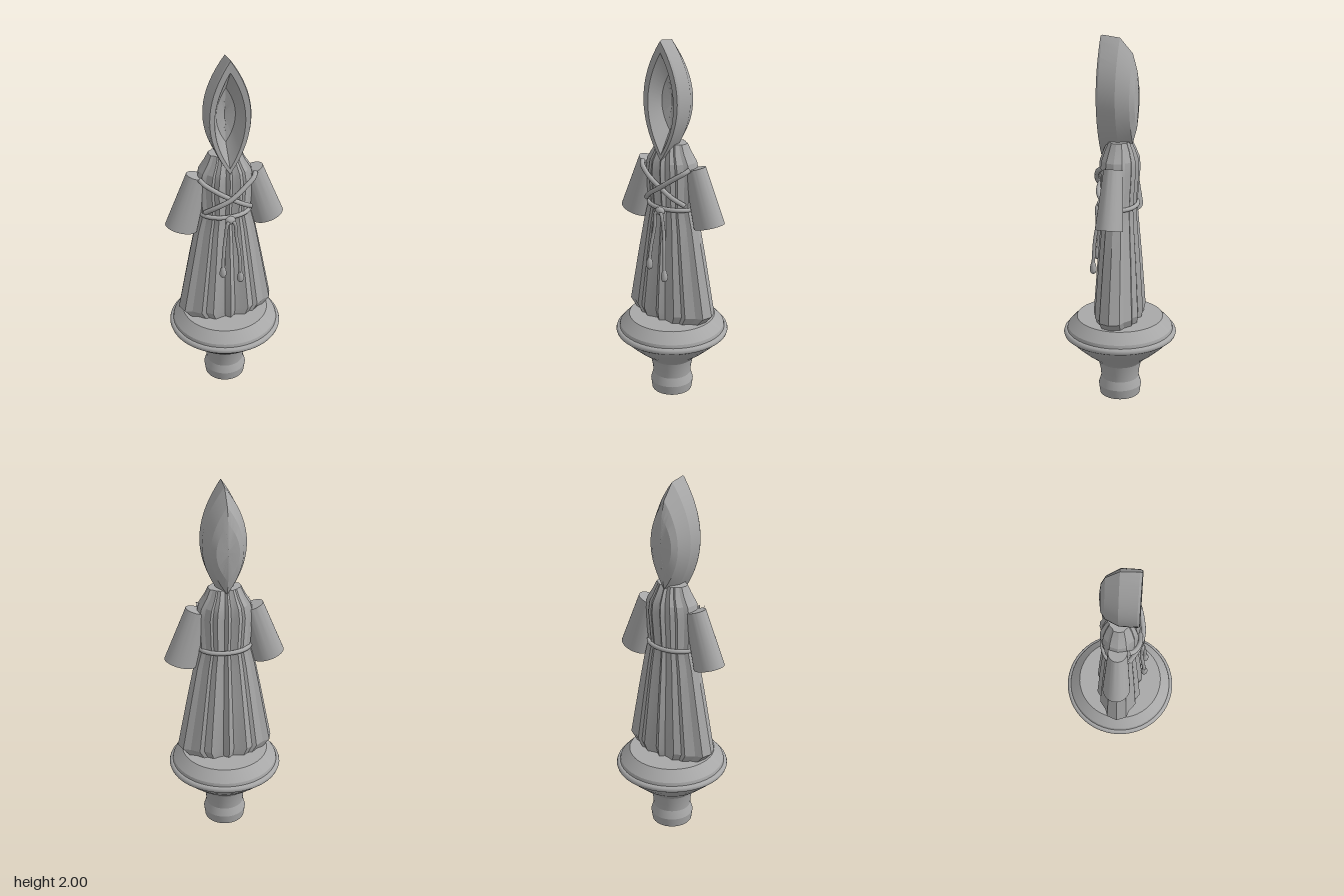
import * as THREE from 'three';
import { toCreasedNormals } from 'three/addons/utils/BufferGeometryUtils.js';

const V = (x, y, z) => new THREE.Vector3(x, y, z);
const stone = new THREE.MeshStandardMaterial({ color: 0xa8a8a8 });
stone.name = 'stone grey';

// Skins a list of equal-length closed loops.
function loft(loops, crease) {
  const n = loops[0].length, pos = [], index = [];
  loops.forEach(loop => loop.forEach(p => pos.push(p.x, p.y, p.z)));
  for (let j = 0; j < loops.length - 1; j++) {
    for (let i = 0; i < n; i++) {
      const a = j * n + i, b = j * n + (i + 1) % n;
      index.push(a, b, b + n, a, b + n, a + n);
    }
  }
  const g = new THREE.BufferGeometry();
  g.setAttribute('position', new THREE.Float32BufferAttribute(pos, 3));
  g.setIndex(index);
  return toCreasedNormals(g, crease);
}

function lathe(points, segments = 48) {
  const g = new THREE.LatheGeometry(points.map(p => new THREE.Vector2(...p)), segments);
  return toCreasedNormals(g, 0.35);
}

const cordGeometry = (points, radius, closed = false) =>
  new THREE.TubeGeometry(new THREE.CatmullRomCurve3(points, closed), closed ? 64 : 28, radius, 10, closed);

// Pointed almond outline in a plane of constant z.
function almond(halfWidth, bottom, top, z, tilt = 0) {
  const half = 18, loop = [];
  for (let i = 0; i < half * 2; i++) {
    const t = i < half ? i / half : 2 - i / half;
    const w = halfWidth * 4 * t * (1 - t) * (i < half ? 1 : -1);
    loop.push(V(w, bottom + (top - bottom) * t, z + tilt * t));
  }
  return loop;
}

// Pleated hem outline, from one quarter mirrored round.
function robeLoop(y, sx, sz) {
  const q = [[0, 0.13], [0.03, 0.108], [0.06, 0.112], [0.1, 0.123], [0.135, 0.1],
    [0.16, 0.102], [0.205, 0.068], [0.245, 0.055], [0.265, 0]];
  const back = q.slice(0, -1).reverse().map(([x, z]) => [x, -z]);
  const right = [...q, ...back];
  const left = right.slice(1, -1).reverse().map(([x, z]) => [-x, z]);
  return [...right, ...left].map(([x, z]) => V(x * sx, y, z * sz));
}

export function createModel() {
  const model = new THREE.Group();
  model.name = 'hoodedRobeFigure';
  function add(name, geometry, parent = model) {
    const mesh = new THREE.Mesh(geometry, stone);
    mesh.name = name;
    parent.add(mesh);
    return mesh;
  }

  // Turned pedestal with a rounded rim
  add('pedestal', lathe([[0, 0], [0.112, 0], [0.119, 0.053], [0.105, 0.1], [0.108, 0.14],
    [0.12, 0.195], [0.145, 0.222], [0.2, 0.265], [0.255, 0.315], [0.285, 0.348], [0.292, 0.36],
    [0.292, 0.395], [0.288, 0.41], [0.237, 0.465], [0, 0.465]]));
  const rim = add('pedestalRim', new THREE.TorusGeometry(0.293, 0.018, 10, 64));
  rim.rotation.x = Math.PI / 2;
  rim.position.y = 0.375;

  // Pleated robe: height, width scale, depth scale
  const levels = [[0.46, 0, 0], [0.46, 0.83, 0.93], [0.51, 1, 1], [0.8, 0.79, 0.86],
    [1.0, 0.64, 0.74], [1.11, 0.53, 0.68], [1.3, 0.58, 0.8], [1.36, 0.53, 0.78],
    [1.41, 0.41, 0.64], [1.455, 0.33, 0.48], [1.455, 0, 0]];
  add('robe', loft(levels.map(l => robeLoop(...l)), 0.3));

  // Hood: back ridge, outer shell, rim, then the hollow face
  add('hood', loft([
    almond(0, 1.66, 1.7, -0.1),
    almond(0.06, 1.52, 1.83, -0.09),
    almond(0.085, 1.44, 1.91, -0.068),
    almond(0.116, 1.385, 1.988, 0.0),
    almond(0.112, 1.375, 2.0, 0.09),
    almond(0.106, 1.375, 1.995, 0.102),
    almond(0.08, 1.405, 1.935, 0.1),
    almond(0.05, 1.52, 1.82, 0.02),
    almond(0, 1.65, 1.69, 0.0),
  ], 0.35));

  // Wide hollow sleeves
  for (const side of [1, -1]) {
    const sleeve = add(side > 0 ? 'leftSleeve' : 'rightSleeve', lathe([
      [0, -0.05], [0.056, -0.155], [0.06, -0.158], [0.088, -0.158], [0.06, 0.155], [0, 0.155]]));
    sleeve.position.set(side * 0.194, 1.185, 0);
    sleeve.rotation.z = side * 0.3;
    sleeve.scale.z = 0.82;
  }

  // Rope belt and knot
  const belt = [];
  for (let i = 0; i < 24; i++) {
    const a = i / 24 * Math.PI * 2;
    belt.push(V(Math.sin(a) * 0.137, 1.11, Math.cos(a) * 0.093));
  }
  add('belt', cordGeometry(belt, 0.012, true));
  const knot = add('knot', new THREE.SphereGeometry(0.028, 16, 10));
  knot.position.set(0, 1.1, 0.108);
  knot.scale.set(1, 0.8, 0.7);

  // Crossed chest cords, one laid over the other
  for (const side of [1, -1]) {
    const lift = side > 0 ? 0.008 : -0.006;
    add(side > 0 ? 'leftChestCord' : 'rightChestCord', cordGeometry([
      V(side * 0.15, 1.34, 0.055), V(side * 0.135, 1.325, 0.08), V(side * 0.07, 1.28, 0.108),
      V(0, 1.23, 0.112 + lift), V(-side * 0.07, 1.185, 0.1), V(-side * 0.125, 1.14, 0.06)], 0.013));
  }

  // Hanging cords with tassels
  for (const [side, end] of [[1, 0.77], [-1, 0.82]]) {
    const group = new THREE.Group();
    group.name = side > 0 ? 'leftTassel' : 'rightTassel';
    model.add(group);
    add('hangingCord', cordGeometry([V(0, 1.1, 0.11), V(side * 0.018, 1.09, 0.122),
      V(side * 0.03, 1.0, 0.118), V(side * 0.043, 0.9, 0.13), V(side * 0.049, end, 0.138)], 0.0095), group);
    const tip = add('tasselTip', lathe([[0, -0.036], [0.011, -0.033], [0.018, -0.02],
      [0.019, -0.005], [0.014, 0.018], [0.009, 0.032], [0, 0.034]], 14), group);
    tip.position.set(side * 0.049, end - 0.02, 0.138);
  }
  return model;
}
